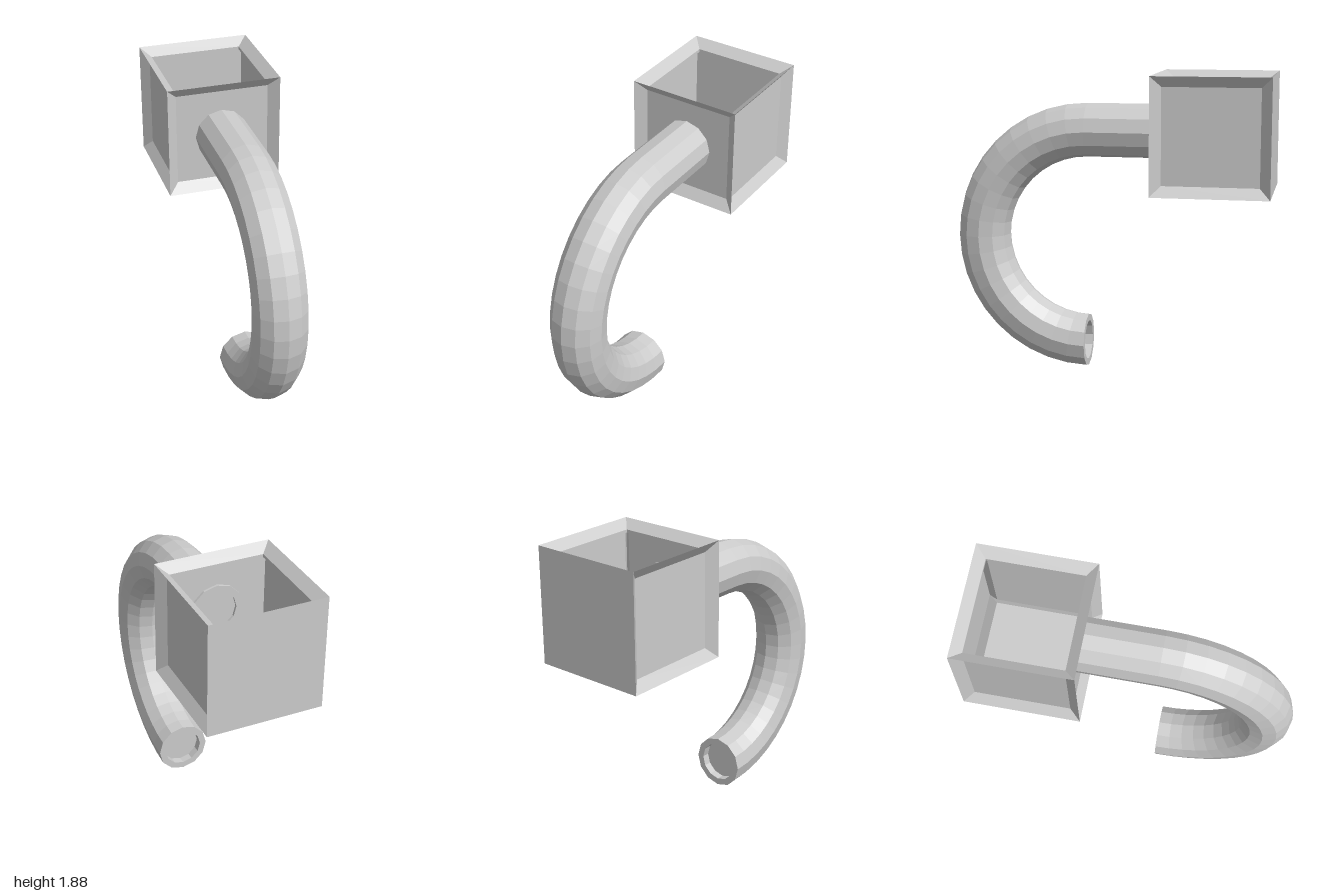
import * as THREE from 'three';

// Ring of points around c, spanned by the axes n and x
function ring(c, n, x, r, sides, turn = 0) {
  return Array.from({ length: sides }, (_, i) => {
    const a = turn + (i / sides) * Math.PI * 2;
    return c.clone().addScaledVector(n, r * Math.cos(a)).addScaledVector(x, r * Math.sin(a));
  });
}

// Flat-faced skin through a row of rings
function loft(rings) {
  const pts = [];
  for (let k = 0; k < rings.length - 1; k++) {
    const A = rings[k], B = rings[k + 1];
    for (let i = 0; i < A.length; i++) {
      const j = (i + 1) % A.length;
      pts.push(A[i], B[i], A[j], A[j], B[i], B[j]);
    }
  }
  const geo = new THREE.BufferGeometry().setFromPoints(pts);
  geo.computeVertexNormals();
  return geo;
}

export function createModel() {
  const group = new THREE.Group();
  const mat = new THREE.MeshStandardMaterial({ color: 0xcccccc, flatShading: true, side: THREE.DoubleSide });
  const add = (geo, name, parent) => {
    const m = new THREE.Mesh(geo, mat);
    m.name = name;
    parent.add(m);
    return m;
  };

  // Curved spout: straight neck, half-circle bend, recessed ends
  const R = 0.676, cy = 0.844, z0 = 0.16, neckEnd = -0.345;
  const tubeR = 0.168, boreR = 0.125, recess = 0.05, bends = 20;
  const X = new THREE.Vector3(1, 0, 0);
  const section = (t, r, along = 0) => {
    const n = new THREE.Vector3(0, Math.cos(t), Math.sin(t));
    const c = new THREE.Vector3(-0.005, cy, z0).addScaledVector(n, R);
    c.add(new THREE.Vector3(0, -Math.sin(t), Math.cos(t)).multiplyScalar(along));
    return ring(c, n, X, r, 12);
  };
  const back = neckEnd - z0;
  const rings = [
    section(0, 0, back + recess), section(0, boreR, back + recess),
    section(0, boreR, back), section(0, tubeR, back),
  ];
  for (let i = 0; i <= bends; i++) rings.push(section((i / bends) * Math.PI, tubeR));
  rings.push(
    section(Math.PI, boreR), section(Math.PI, boreR, -recess), section(Math.PI, 0, -recess),
  );
  add(loft(rings), 'curvedSpout', group);

  // Open box: each side is built facing +z, then turned into place
  const box = new THREE.Group();
  box.name = 'openBox';
  box.position.set(0, 1.52, -0.64);
  group.add(box);
  const H = 0.36, inner = 0.295, sunk = 0.31;
  const square = (half, z) => ring(
    new THREE.Vector3(0, 0, z), new THREE.Vector3(1, 0, 0), new THREE.Vector3(0, 1, 0),
    half * Math.SQRT2, 4, Math.PI / 4,
  ).reverse();
  const panel = [square(0, sunk), square(inner, sunk), square(H, H)];
  const flat = [square(0, H), square(H, H)];
  const rim = [square(inner, sunk - 0.02), square(inner, sunk), square(H, H)];
  const q = Math.PI / 2;
  [
    ['frontPanel', panel, 0, 0],
    ['leftPanel', panel, 0, q],
    ['rightPanel', panel, 0, -q],
    ['bottomPanel', panel, q, 0],
    ['backWall', flat, 0, 2 * q],
    ['topRim', rim, -q, 0],
  ].forEach(([name, profile, rx, ry]) => {
    // Reversed profiles run from the edge inwards so the faces look outwards
    add(loft(profile), name, box).rotation.set(rx, ry, 0);
  });

  return group;
}
